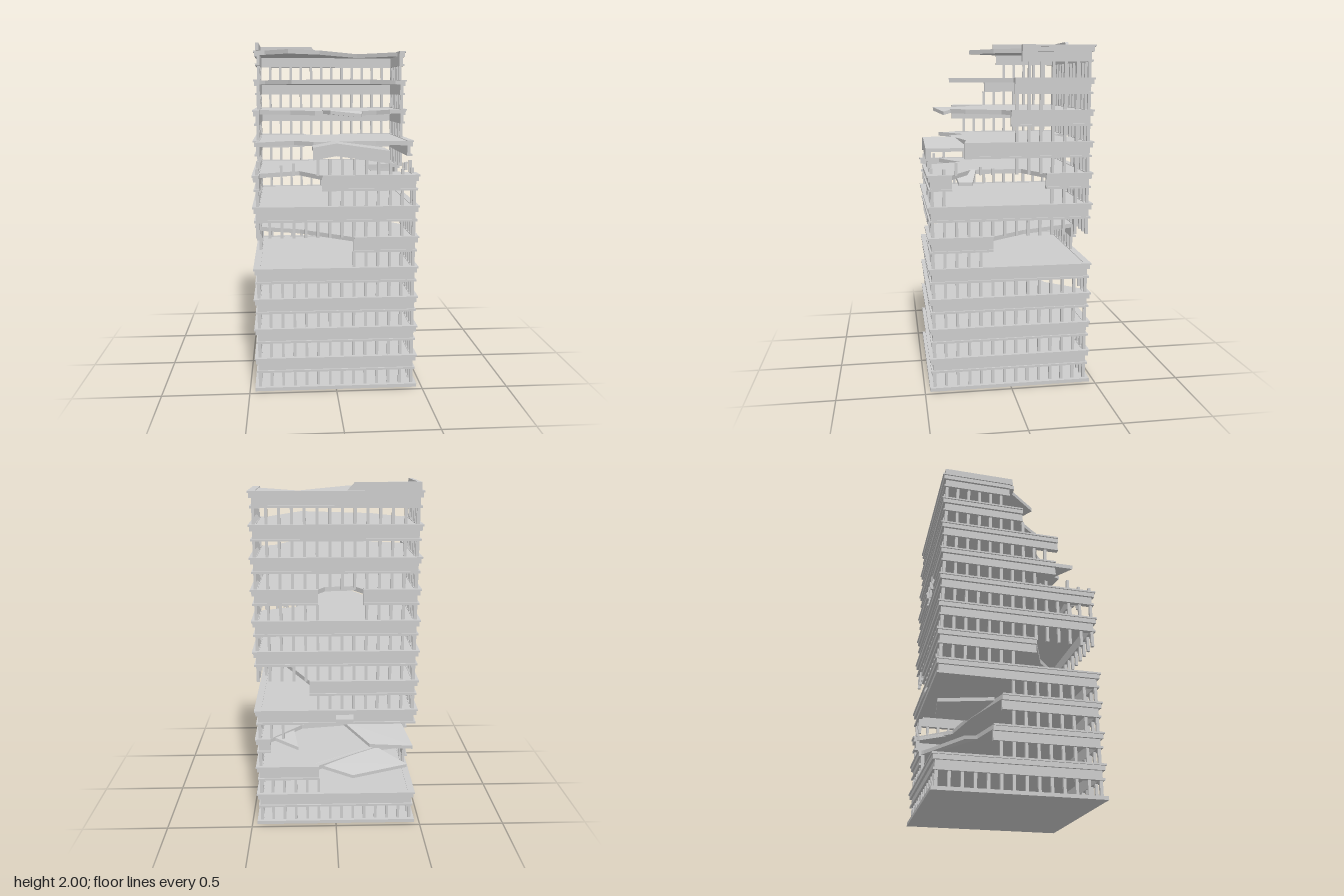
import * as THREE from 'three';
import { mergeGeometries } from 'three/addons/utils/BufferGeometryUtils.js';
import { ConvexGeometry } from 'three/addons/geometries/ConvexGeometry.js';

const H = 0.47, STOREYS = 11, RISE = 0.176;
const floorY = k => 0.02 + RISE * k;
const mat = new THREE.MeshStandardMaterial({ color: 0xcccccc, flatShading: true });

// Broken stretch of facade per storey: x for front/back, z for left/right
const GAPS = {
  front: { 5: [-H, 0.1], 7: [-H, -0.08], 8: [-H, H], 9: [-H, H], 10: [-H, H], 11: [-H, H] },
  back: { 2: [-H, 0.1], 3: [-H, 0.38], 5: [0.15, H], 8: [-0.15, 0.1] },
  right: { 5: [-H, 0.1], 7: [-0.2, 0.33], 8: [0.26, H], 9: [0, H], 10: [-0.02, H], 11: [-0.06, H] },
  left: { 2: [-H, -0.15], 3: [-H, -0.1], 5: [0.1, H], 8: [0.23, H], 9: [0.25, H], 10: [0.03, H], 11: [-0.05, H] },
};
// Stretches where the columns are lost differently from the spandrel above
const COLUMN_GAPS = {
  back: { 4: [-H, 0.3] },
  right: { 5: [-H, 0.11], 8: [0, H] },
  left: { 4: [-H, -0.1], 5: [0, H], 8: [0.13, H], 9: [0.18, H], 10: [0.1, H] },
};

// Outlines (x, z) of the broken floors; the others are full squares
const OUTLINES = {
  2: [[-H, H], [-H, -0.15], [-0.25, -0.2], [-0.1, -0.3], [0.1, -H], [H, -H], [H, H]],
  3: [[-H, H], [-H, -0.1], [-0.1, -0.2], [0.2, -0.25], [0.38, -H], [H, -H], [H, H]],
  5: [[-H, 0.1], [-H, -H], [0.15, -H], [0.3, -0.1], [H, 0.1], [H, H], [0.1, H], [-0.2, 0.2]],
  7: [[-H, 0.35], [-H, -H], [H, -H], [H, -0.2], [0.22, -0.1], [0.22, 0.2], [H, 0.33], [H, H], [-0.08, H], [-0.2, 0.22]],
  8: [[-H, 0.34], [-H, -H], [-0.15, -H], [-0.1, -0.36], [0.06, -0.38], [0.1, -H], [H, -H], [H, 0.26], [0.25, 0.23], [-0.12, 0.3], [-0.23, 0.19]],
  9: [[-H, 0.1], [-H, -H], [H, -H], [H, 0], [0.36, 0.04], [0.25, 0.23], [0.16, 0.31], [-0.05, 0.3], [-0.11, 0.3], [-0.25, 0.18]],
  10: [[-H, 0.03], [-H, -H], [H, -H], [H, -0.02], [0.4, -0.02], [0.23, 0.27], [0.2, 0.32], [-0.24, 0.18], [-0.26, 0.15], [-0.4, -0.02]],
  11: [[-H, -0.02], [-H, -H], [H, -H], [H, -0.12], [0.2, -0.4], [0.14, -0.3], [-0.07, 0.02], [-0.26, 0.15], [-0.4, -0.02]],
};
const SQUARE = [[-H, H], [-H, -H], [H, -H], [H, H]];

function add(parent, geo, name) {
  const mesh = new THREE.Mesh(geo, mat);
  mesh.name = name;
  parent.add(mesh);
}

// Box running a..b along one side of the building, between two depths
function sideBox(side, a, b, y0, y1, inner, outer) {
  const g = new THREE.BoxGeometry(b - a, y1 - y0, outer - inner);
  const u = (a + b) / 2, d = (inner + outer) / 2, y = (y0 + y1) / 2;
  if (side === 'front') return g.translate(u, y, d);
  if (side === 'back') return g.translate(u, y, -d);
  g.rotateY(Math.PI / 2);
  return g.translate(side === 'right' ? d : -d, y, u);
}

// Stepped spandrel: bottom lip, recessed wall, projecting ledge
function spandrel(side, a, b, top) {
  const fit = (v, r) => Math.max(-r, Math.min(r, v));
  return [[-0.09, -0.078, 0.46], [-0.078, -0.036, 0.45], [-0.036, -0.01, 0.463], [-0.01, 0, 0.47]]
    .map(([y0, y1, r]) => sideBox(side, fit(a, r), fit(b, r), top + y0, top + y1, 0.43, r));
}

// Flat floor slab with a broken outline
function slab(outline, top, thickness) {
  const lim = v => Math.max(-0.45, Math.min(0.45, v));
  const shape = new THREE.Shape(outline.map(([x, z]) => new THREE.Vector2(lim(x), -lim(z))));
  return new THREE.ExtrudeGeometry(shape, { depth: thickness, bevelEnabled: false })
    .rotateX(-Math.PI / 2).translate(0, top - thickness, 0);
}

// Tilted convex fragment of a fallen slab
function fragment(points, thickness = 0.02) {
  const v = points.flatMap(([x, y, z]) => [new THREE.Vector3(x, y, z), new THREE.Vector3(x, y - thickness, z)]);
  return new ConvexGeometry(v);
}

function buildStorey(k) {
  const group = new THREE.Group();
  group.name = 'storey' + k;
  const base = floorY(k - 1), top = floorY(k);
  const bands = [], columns = [];
  for (const side of Object.keys(GAPS)) {
    const gap = GAPS[side][k];
    const lost = COLUMN_GAPS[side]?.[k] || gap;
    const spans = gap ? [[-H, gap[0]], [gap[1], H]] : [[-H, H]];
    for (const [a, b] of spans) if (b - a > 0.01) bands.push(...spandrel(side, a, b, top));
    for (let i = 0; i < 14; i++) {
      const u = -0.442 + 0.068 * i;
      // Columns under the sagging front of the eighth floor still stand
      const propping = k === 8 && side === 'front' && u > -0.13 && u < 0.3;
      const broken = !propping && lost && u > lost[0] && u < lost[1];
      // A few snapped stubs remain on the open eighth storey
      const stub = k === 8 && side !== 'back' && i % 3 !== 1;
      if (broken && !stub) continue;
      const end = broken ? base + 0.03 + 0.012 * (i % 4) : top - 0.088;
      columns.push(sideBox(side, u - 0.008, u + 0.008, base - 0.005, end, 0.432, 0.449));
    }
  }
  add(group, mergeGeometries(bands), 'spandrels');
  add(group, mergeGeometries(columns), 'columns');
  add(group, slab(OUTLINES[k] || SQUARE, top - 0.003, 0.025), 'floorSlab');
  return group;
}

export function createModel() {
  const model = new THREE.Group();
  model.name = 'ruinedTower';

  add(model, new THREE.BoxGeometry(2 * H, 0.02, 2 * H).translate(0, 0.01, 0), 'baseSlab');
  for (let k = 1; k <= STOREYS; k++) model.add(buildStorey(k));

  // Remaining roof parapet round the back corner, with a sloped broken end
  const roof = floorY(STOREYS);
  const end = new THREE.Shape();
  [[-0.455, roof], [-0.06, roof], [-0.1, 2], [-0.455, 2]].forEach(([x, y], i) => i ? end.lineTo(x, y) : end.moveTo(x, y));
  add(model, new THREE.ExtrudeGeometry(end, { depth: 0.02, bevelEnabled: false }).translate(0, 0, -0.455), 'backParapet');
  add(model, sideBox('left', -0.455, -0.03, roof, 2, 0.435, 0.455), 'leftParapet');

  // Sagging front of the eighth floor, folded at the middle
  const y8 = floorY(8);
  for (const [x, y, zi] of [[-0.13, 1.405, 0.3], [0.3, 1.385, 0.22]]) {
    add(model, fragment([[0, y8, 0.25], [0, y8, 0.46], [x, y, 0.46], [x, y, zi]]), 'saggingSlab');
    add(model, fragment([[0, y8, 0.435], [0, y8, 0.465], [x, y, 0.465], [x, y, 0.435]], 0.07), 'saggingSpandrel');
  }

  const debris = {
    // Front lip of the ninth floor
    foldedSlab: [[-0.07, 1.605, 0.29], [-0.03, 1.605, 0.4], [0.15, 1.585, 0.35], [0.16, 1.6, 0.3]],
    // Slab edge sagging inside the right side
    rightFragment: [[0.22, 1.25, 0.3], [0.22, 1.25, 0.17], [0.32, 1.19, 0.2], [0.32, 1.19, 0.28]],
    // Slabs lying in the hole at the back corner
    backFallenSlab: [[-0.25, 0.37, -0.18], [0.12, 0.37, -0.42], [-0.1, 0.31, -0.46], [-0.44, 0.3, -0.3]],
    backHangingSlab: [[-0.4, 0.545, -0.13], [-0.05, 0.545, -0.2], [-0.2, 0.49, -0.42], [-0.45, 0.49, -0.45]],
    backSplinter: [[0.25, 0.54, -0.28], [0.36, 0.54, -0.42], [0.22, 0.49, -0.45]],
    hangingSpandrel: [[-0.1, 0.72, -0.45], [0, 0.72, -0.45], [0, 0.67, -0.475], [-0.1, 0.67, -0.475]],
  };
  for (const [name, pts] of Object.entries(debris)) add(model, fragment(pts), name);

  return model;
}
